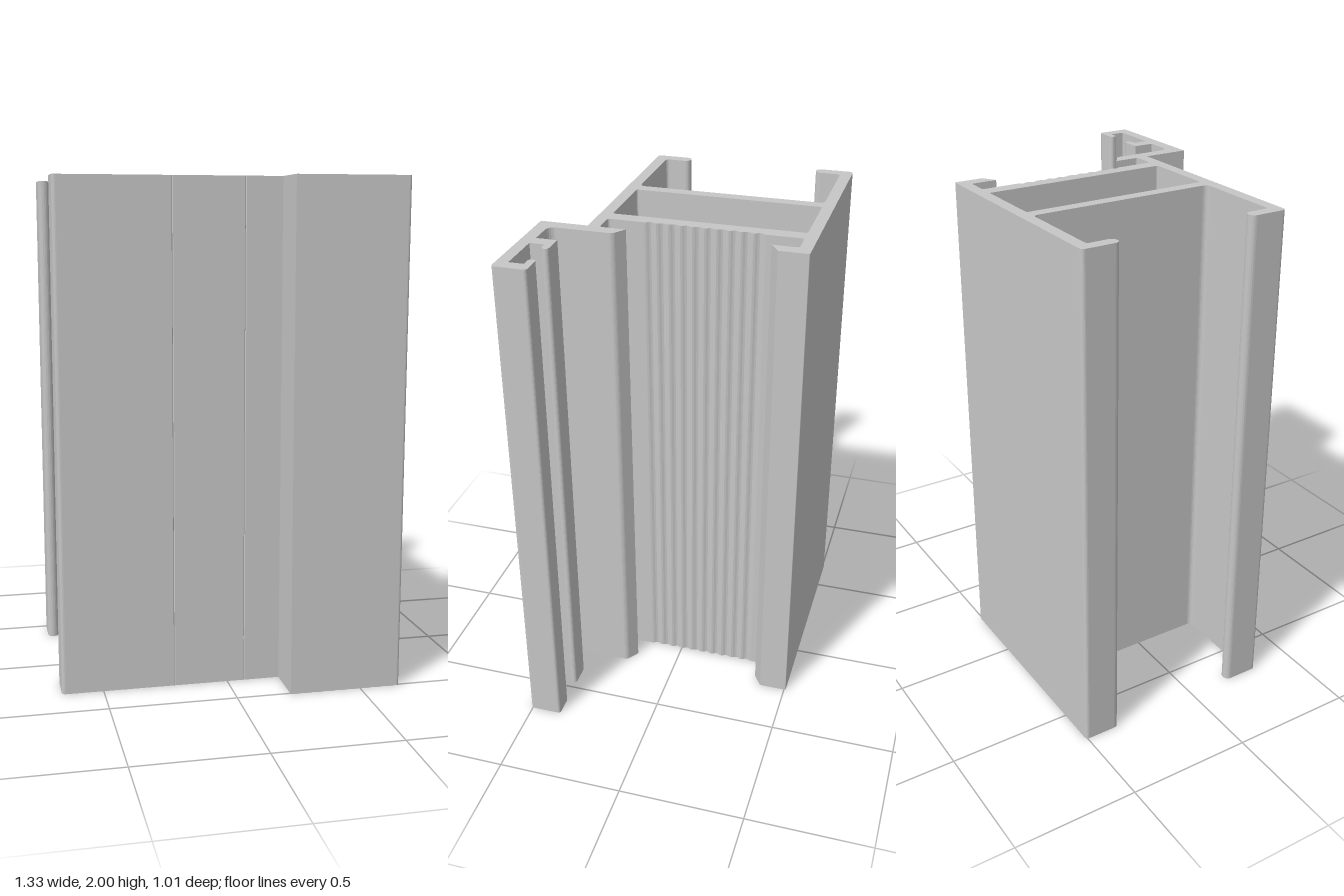
import * as THREE from 'three';

const HEIGHT = 2;

// Trace a closed path through [x, z, cornerRadius] points, rounding each corner that has a radius.
// Path y is -z so that the extrusion can be stood upright.
function trace(path, points) {
  const n = points.length;
  points.forEach(([x, z, r = 0], i) => {
    const p = new THREE.Vector2(x, -z);
    const toward = ([qx, qz]) => new THREE.Vector2(qx, -qz).sub(p).setLength(r).add(p);
    const a = toward(points[(i + n - 1) % n]);
    const b = toward(points[(i + 1) % n]);
    if (i === 0) path.moveTo(a.x, a.y);
    else path.lineTo(a.x, a.y);
    if (r > 0) {
      // cubic approximation of a circular fillet
      const k = 0.5523;
      const c = a.clone().lerp(p, k), d = b.clone().lerp(p, k);
      path.bezierCurveTo(c.x, c.y, d.x, d.y, b.x, b.y);
    }
  });
  path.closePath();
  return path;
}

// Wavy grip down the outer face of the right web
function serrations(x, z0, z1, count, depth) {
  const points = [];
  const steps = 6;
  for (let i = 0; i <= count * steps; i++) {
    const t = i / steps;
    points.push([x - depth * (0.5 - 0.5 * Math.cos(2 * Math.PI * t)), z0 + (z1 - z0) * t / count]);
  }
  return points;
}

// Small V-shaped marking groove in the front face, traced from right to left
const groove = (x) => [[x + 0.003, 0.324], [x, 0.32], [x - 0.003, 0.324]];

export function createModel() {
  const aluminium = new THREE.MeshStandardMaterial({ color: 0xc6c6c6 });
  aluminium.name = 'aluminium grey';

  const outline = [
    // back flange with hooked right end
    [-0.664, -0.507, 0.015], [0.265, -0.507, 0.003], [0.265, -0.394], [0.214, -0.36],
    [0.214, -0.461, 0.01], [0.126, -0.461, 0.01],
    // right web
    ...serrations(0.126, -0.32, 0.137, 10, 0.009),
    [0.126, 0.278, 0.01], [0.214, 0.278, 0.01],
    // front hook and step down to the offset channel
    [0.214, 0.178], [0.265, 0.213, 0.012], [0.265, 0.458, 0.03],
    // channel with two inward lips
    [0.381, 0.458], [0.381, 0.377], [0.47, 0.377, 0.013], [0.47, 0.406, 0.013],
    [0.432, 0.406], [0.432, 0.462], [0.616, 0.462], [0.616, 0.406],
    [0.573, 0.406, 0.013], [0.573, 0.377, 0.013], [0.664, 0.377, 0.012], [0.664, 0.507, 0.012],
    [0.214, 0.507], [0.214, 0.324],
    // front flange and its rounded left lip
    ...groove(0.069), ...groove(-0.215),
    [-0.664, 0.324, 0.015], [-0.664, 0.175, 0.022], [-0.618, 0.175, 0.022], [-0.618, 0.278, 0.012],
    // left web
    [-0.262, 0.278, 0.02], [-0.262, -0.461, 0.02],
    // back left lip
    [-0.618, -0.461, 0.012], [-0.618, -0.357, 0.022], [-0.664, -0.357, 0.022],
  ];

  // closed chamber between the webs, wound against the outline so its walls face inward
  const chamber = [
    [-0.215, -0.461, 0.008], [-0.215, 0.278, 0.008], [0.068, 0.278, 0.008], [0.068, -0.461, 0.008],
  ];

  const section = trace(new THREE.Shape(), outline);
  section.holes.push(trace(new THREE.Path(), chamber));

  const extrusion = new THREE.ExtrudeGeometry(section, {
    depth: HEIGHT, bevelEnabled: false, curveSegments: 5,
  });
  extrusion.rotateX(-Math.PI / 2);

  const profile = new THREE.Mesh(extrusion, aluminium);
  profile.name = 'extrudedFrameProfile';

  const model = new THREE.Group();
  model.name = 'frameProfile';
  model.add(profile);
  return model;
}
